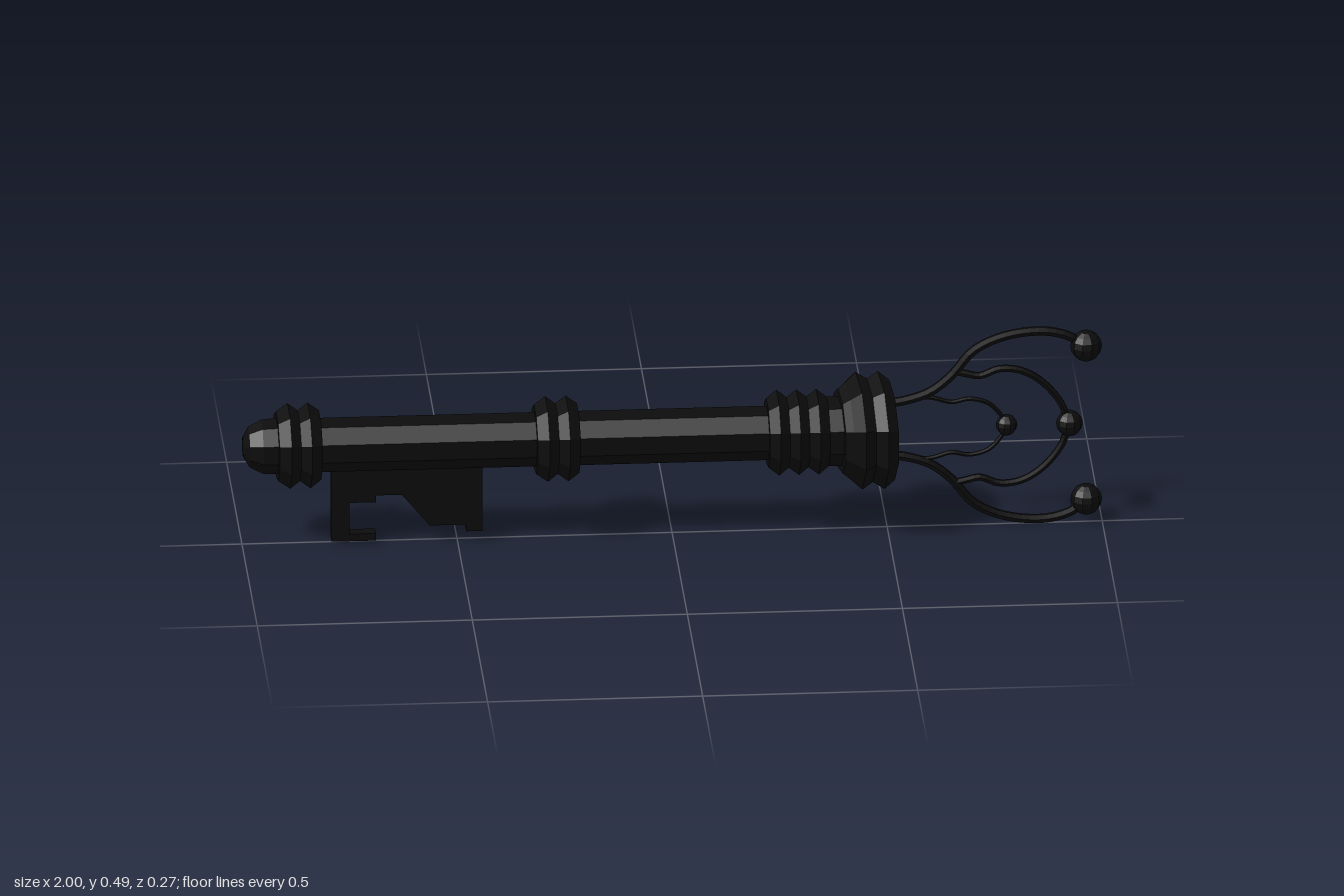
import * as THREE from 'three';

const AXIS_Y = 0.248; // height of the shaft's axis

export function createModel() {
  const model = new THREE.Group();
  model.name = 'key';
  const black = new THREE.MeshStandardMaterial({ color: 0x0c0c0c, flatShading: true, side: THREE.DoubleSide });
  black.name = 'blackIron';

  const add = (name, geometry, parent = model) => {
    const mesh = new THREE.Mesh(geometry, black);
    mesh.name = name;
    parent.add(mesh);
    return mesh;
  };

  // Nine-sided turned part along x from [x, radius] pairs, leaning slightly with z
  const turned = (name, profile, lean = 0.02) => {
    const g = new THREE.LatheGeometry(profile.map(([x, r]) => new THREE.Vector2(r, x)), 9, Math.PI);
    g.rotateZ(-Math.PI / 2);
    const p = g.attributes.position;
    for (let i = 0; i < p.count; i++) p.setX(i, p.getX(i) + lean * p.getZ(i));
    g.computeVertexNormals();
    add(name, g).position.set(0, AXIS_Y, 0.004);
  };

  turned('shaft', [[-0.95, 0.064], [0.4, 0.064]]);
  turned('tip', [[-1, 0], [-0.998, 0.025], [-0.985, 0.048], [-0.955, 0.064], [-0.92, 0.066]]);

  // Ridged collars: a row of sharp peaks
  const collar = (name, start, end, peaks) => {
    const profile = [[start, 0.06], [start, 0.082]];
    peaks.forEach((x, i) => {
      if (i) profile.push([(x + peaks[i - 1]) / 2, 0.083]);
      profile.push([x, 0.101]);
    });
    turned(name, [...profile, [end, 0.082], [end, 0.06]], 0.03);
  };
  collar('tipCollar', -0.92, -0.82, [-0.893, -0.846]);
  collar('middleCollar', -0.32, -0.22, [-0.294, -0.246]);
  collar('neckCollar', 0.22, 0.36, [0.244, 0.29, 0.336]);
  turned('neck', [[0.355, 0.082], [0.395, 0.082]], 0.05);

  // Flared head with a shallow recess in its end
  turned('head', [[0.388, 0.06], [0.388, 0.1], [0.405, 0.115], [0.43, 0.139], [0.456, 0.122], [0.482, 0.139],
    [0.508, 0.118], [0.512, 0.085], [0.495, 0.075], [0.495, 0]], 0.1);

  // Bit: flat toothed plate below the shaft
  const outline = [[-0.793, 0.22], [-0.793, 0.012], [-0.69, 0.012], [-0.69, 0.03], [-0.752, 0.03], [-0.752, 0.108],
    [-0.69, 0.108], [-0.69, 0.125], [-0.63, 0.125], [-0.565, 0.046], [-0.48, 0.046], [-0.48, 0.029], [-0.442, 0.029], [-0.442, 0.22]];
  const bit = new THREE.ExtrudeGeometry(new THREE.Shape(outline.map(([x, y]) => new THREE.Vector2(x, y))),
    { depth: 0.03, bevelEnabled: false });
  add('bit', bit).position.z = -0.007;

  // Wire bow: three pairs of curled wires, mirrored above and below the axis
  const wires = [
    ['outerWire', 0.0115, [[0.48, 0.062], [0.54, 0.07], [0.6, 0.09], [0.65, 0.13], [0.7, 0.19], [0.77, 0.224], [0.86, 0.235], [0.92, 0.222], [0.96, 0.197]]],
    ['middleWire', 0.009, [[0.655, 0.14], [0.685, 0.133], [0.715, 0.127], [0.76, 0.143], [0.81, 0.138], [0.86, 0.108], [0.905, 0.052], [0.922, 0]]],
    ['innerWire', 0.0055, [[0.56, 0.078], [0.605, 0.075], [0.65, 0.063], [0.69, 0.07], [0.735, 0.058], [0.766, 0.025], [0.778, 0]]],
  ];
  const bow = new THREE.Group();
  bow.name = 'bow';
  model.add(bow);
  for (const side of [1, -1]) {
    for (const [name, radius, points] of wires) {
      const path = new THREE.CatmullRomCurve3(points.map(([x, y]) => new THREE.Vector3(x, AXIS_Y + side * y, 0)));
      const g = new THREE.TubeGeometry(path, 28, radius, 6);
      g.scale(1, 1, 0.7);
      add(name + (side > 0 ? 'Upper' : 'Lower'), g, bow);
    }
  }

  // Balls on the wire ends
  const ball = (name, x, y, r) =>
    add(name, new THREE.SphereGeometry(r, 10, 8), bow).position.set(x, AXIS_Y + y, -0.003);
  ball('upperBall', 0.963, 0.194, 0.037);
  ball('lowerBall', 0.963, -0.19, 0.037);
  ball('middleBall', 0.924, 0.001, 0.031);
  ball('innerBall', 0.778, 0.001, 0.025);

  return model;
}
